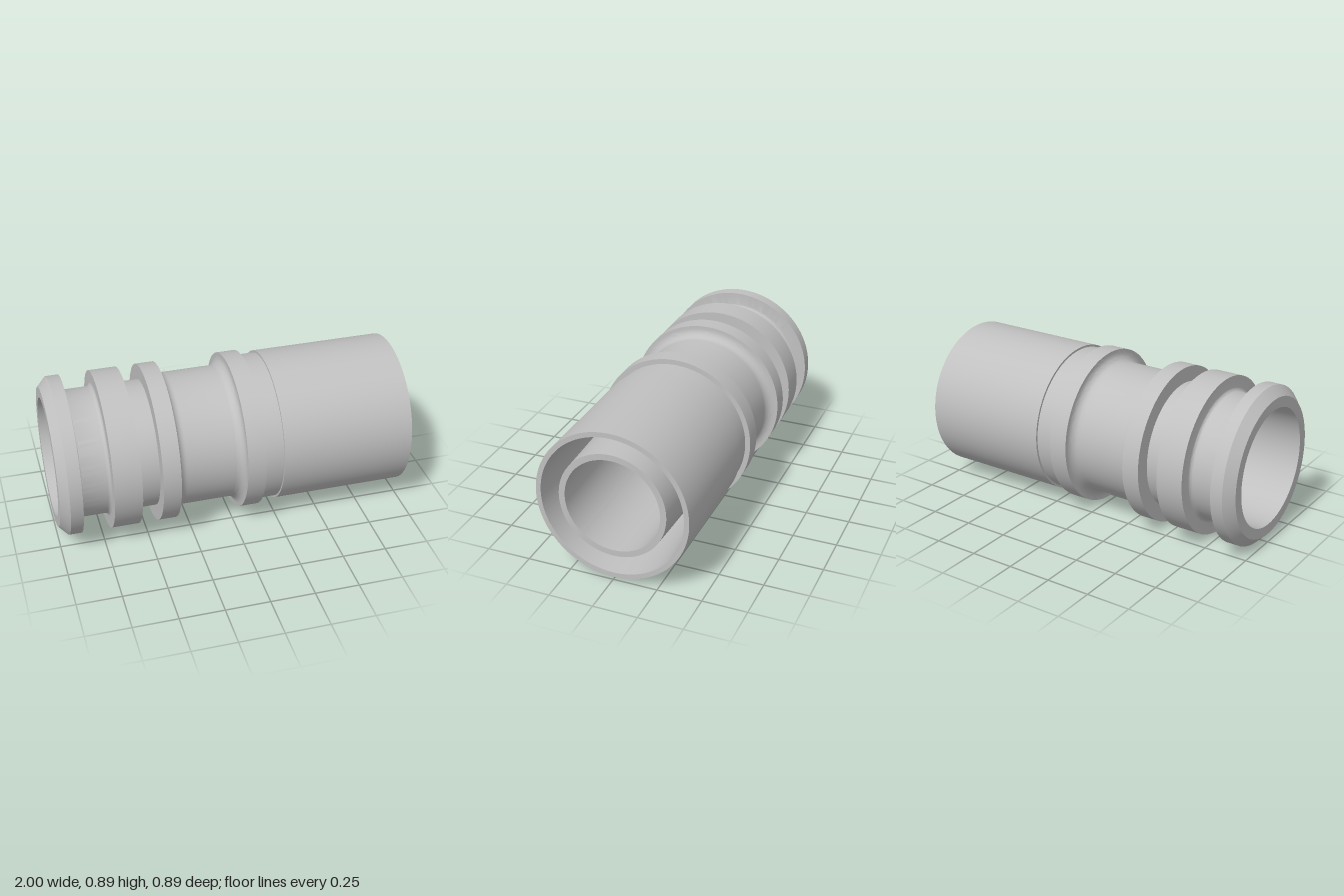
import * as THREE from 'three';
import { toCreasedNormals } from 'three/addons/utils/BufferGeometryUtils.js';

const AXIS_Y = 0.448;
const R = 0.447; // collar radius

// Quarter-round fillet about (cx, cr), from angle a0 to a1, as [x, radius] pairs
function fillet(cx, cr, rad, a0, a1, steps = 8) {
  return Array.from({ length: steps + 1 }, (_, i) => {
    const a = a0 + ((a1 - a0) * i) / steps;
    return [cx + rad * Math.cos(a), cr + rad * Math.sin(a)];
  });
}

// Groove floor at radius r between x0 and x1, with rounded inner corners
function roundedGroove(x0, x1, r, rad) {
  return [
    [x0, R],
    ...fillet(x0 + rad, r + rad, rad, Math.PI, Math.PI * 1.5),
    ...fillet(x1 - rad, r + rad, rad, Math.PI * 1.5, Math.PI * 2),
    [x1, R],
  ];
}

// Revolve [x, radius] pairs around the x axis
function revolve(name, pairs, material) {
  const points = pairs.map(([x, r]) => new THREE.Vector2(r, x));
  const lathe = new THREE.LatheGeometry(points, 128);
  lathe.rotateZ(-Math.PI / 2);
  lathe.translate(0, AXIS_Y, 0);
  const mesh = new THREE.Mesh(toCreasedNormals(lathe, 0.5), material);
  mesh.name = name;
  return mesh;
}

export function createModel() {
  const grey = new THREE.MeshStandardMaterial({ color: 0xc0c0c0 });
  grey.name = 'light grey';

  const group = new THREE.Group();
  group.name = 'pipeFitting';

  // Chamfered nose, seal grooves, collars and neck
  group.add(revolve('collarBody', [
    [-1, 0.335], [-1, 0.395], [-0.95, R],
    ...roundedGroove(-0.88, -0.71, 0.36, 0.02),
    [-0.555, R], [-0.555, 0.36], [-0.44, 0.36], [-0.44, R],
    ...roundedGroove(-0.34, 0.035, 0.38, 0.05),
    [0.14, R], [0.14, 0.418],
  ], grey));

  // Relief step and outer sleeve
  group.add(revolve('outerSleeve', [
    [0.14, 0.418], [0.25, 0.418], [0.25, 0.43], [1, 0.43], [1, 0.402],
  ], grey));

  // Tapered ring-shaped socket between the outer sleeve and the inner tube
  group.add(revolve('socket', [
    [1, 0.402], [0.25, 0.365], [0.25, 0.325], [0.99, 0.302],
  ], grey));

  // Inner tube rim and tapered through bore
  group.add(revolve('innerBore', [
    [0.99, 0.302], [0.99, 0.268], [-1, 0.335],
  ], grey));

  return group;
}
